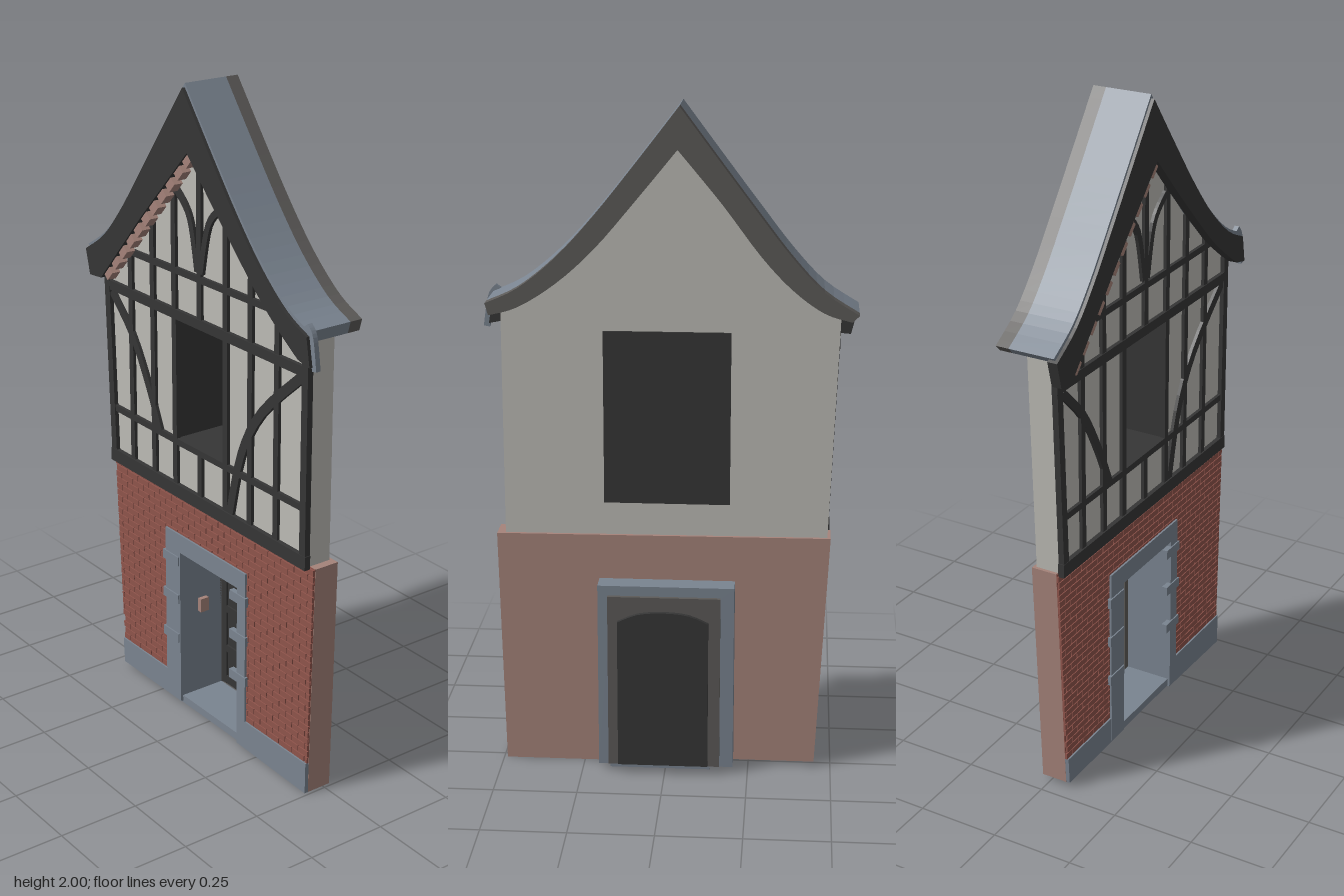
import * as THREE from 'three';
import { mergeGeometries } from 'three/addons/utils/BufferGeometryUtils.js';

const mat = (name, color) => {
  const m = new THREE.MeshStandardMaterial({ color });
  m.name = name;
  return m;
};
const V = (p) => new THREE.Vector2(p[0], p[1]);

// Flat outline (with optional holes) pushed out from z0 to z1
function slab(pts, z0, z1, holes = []) {
  const shape = new THREE.Shape(pts.map(V));
  holes.forEach((h) => shape.holes.push(new THREE.Path(h.map(V))));
  const g = new THREE.ExtrudeGeometry(shape, { depth: z1 - z0, bevelEnabled: false });
  return g.translate(0, 0, z0);
}
const rect = (x0, x1, y0, y1) => [[x0, y0], [x1, y0], [x1, y1], [x0, y1]];
const block = (x0, x1, y0, y1, z0, z1) =>
  new THREE.BoxGeometry(x1 - x0, y1 - y0, z1 - z0).translate((x0 + x1) / 2, (y0 + y1) / 2, (z0 + z1) / 2);
const smooth = (pts, n = 20) => new THREE.SplineCurve(pts.map(V)).getPoints(n).map((p) => [p.x, p.y]);

// Curved or straight strip of even width along a path
function strip(pts, w, z0, z1) {
  const curve = new THREE.SplineCurve(pts.map(V));
  const n = pts.length > 2 ? 12 : 1;
  const a = [], b = [];
  for (let i = 0; i <= n; i++) {
    const p = curve.getPoint(i / n), t = curve.getTangent(i / n);
    a.push([p.x - t.y * w / 2, p.y + t.x * w / 2]);
    b.unshift([p.x + t.y * w / 2, p.y - t.x * w / 2]);
  }
  return slab([...a, ...b], z0, z1);
}

export function createModel() {
  const house = new THREE.Group();
  house.name = 'townHouse';
  const plaster = mat('plaster', 0xbcbbb5), timber = mat('darkTimber', 0x363636);
  const brick = mat('redBrick', 0x8f544b), mortar = mat('mortar', 0xa5837a);
  const slate = mat('slate', 0x7a8490), trim = mat('greyTrim', 0x5c5a58);
  const add = (name, geo, material) => {
    const parts = Array.isArray(geo) ? geo.map((g) => (g.index ? g.toNonIndexed() : g)) : null;
    const m = new THREE.Mesh(parts ? mergeGeometries(parts) : geo, material);
    m.name = name;
    house.add(m);
    return m;
  };

  // Roof profiles, eave to ridge on the left and ridge to eave on the right
  const outL = smooth([[-0.55, 1.42], [-0.45, 1.485], [-0.36, 1.58], [-0.27, 1.695], [-0.16, 1.84], [-0.04, 2]]);
  const outR = smooth([[-0.04, 2], [0.08, 1.845], [0.2, 1.695], [0.31, 1.575], [0.42, 1.485], [0.515, 1.44]]);
  const inL = smooth([[-0.53, 1.4], [-0.45, 1.425], [-0.36, 1.49], [-0.27, 1.585], [-0.16, 1.73], [-0.035, 1.88]]);
  const inR = smooth([[-0.035, 1.88], [0.08, 1.74], [0.2, 1.6], [0.31, 1.5], [0.42, 1.43], [0.505, 1.405]]);
  const shell = [...outL, ...outR.slice(1), ...inR.slice().reverse(), ...inL.slice(0, -1).reverse()];
  add('roof', slab(shell, -0.04, 0.1), slate);
  add('roofBackEdge', slab(shell, -0.08, -0.04), trim);
  // Bargeboard over the gable front
  const lower = (pts) => pts.map(([x, y]) => [x, y - 0.012]);
  const bargeIn = smooth([[-0.02, 1.81], [0.12, 1.665], [0.3, 1.49], [0.4, 1.41], [0.48, 1.355]], 14);
  add('bargeboard', slab([[-0.53, 1.33], ...lower(outL), ...lower(outR).slice(1), [0.53, 1.345],
    ...bargeIn.slice().reverse(), [-0.25, 1.575], [-0.47, 1.335]], 0.08, 0.11), timber);
  add('eaveSlate', strip([[0.5, 1.455], [0.522, 1.425], [0.537, 1.335]], 0.018, 0.085, 0.1), slate);
  // Little blocks under the left bargeboard
  const dentils = [];
  for (let i = 0; i < 11; i++) {
    const x = -0.455 + i * 0.041, y = 1.345 + i * 0.043;
    dentils.push(strip([[x, y], [x + 0.026, y + 0.028]], 0.035, 0.075, 0.104));
  }
  add('dentils', dentils, mortar);

  // Upper wall with a window opening
  const up = (pts) => pts.map(([x, y]) => [x, y + 0.008]);
  const gable = up([...inL, ...inR.slice(1)]).filter(([x]) => x > -0.49 && x < 0.475);
  add('upperWall', slab([[-0.475, 0.73], [-0.5, 1.41], ...gable, [0.48, 1.41], [0.48, 0.73]],
    -0.015, 0.065, [rect(-0.14, 0.11, 0.91, 1.31)]), plaster);

  // Timber frame
  const beam = (pts, w, z1 = 0.075) => strip(pts, w, 0.06, z1);
  const frame = [
    beam([[-0.482, 0.748], [0.487, 0.746]], 0.042, 0.079),
    beam([[-0.48, 0.908], [-0.13, 0.906]], 0.02), beam([[-0.14, 0.905], [0.475, 0.908]], 0.02),
    beam([[-0.5, 1.305], [0.48, 1.308]], 0.03, 0.077),
    beam([[-0.385, 1.436], [0.37, 1.444]], 0.02),
    beam([[-0.488, 1.35], [-0.465, 0.74]], 0.026, 0.078), beam([[0.472, 1.38], [0.472, 0.74]], 0.026, 0.078),
    beam([[-0.015, 1.84], [-0.015, 1.31]], 0.021), beam([[-0.015, 0.76], [-0.015, 0.905]], 0.021),
    beam([[-0.468, 1.285], [-0.36, 1.175], [-0.28, 1.04], [-0.22, 0.91]], 0.026),
    beam([[0.46, 1.295], [0.28, 1.13], [0.185, 0.97], [0.13, 0.76]], 0.03),
    beam([[-0.125, 1.68], [-0.06, 1.61], [-0.025, 1.46]], 0.021),
    beam([[0.1, 1.68], [0.03, 1.61], [-0.007, 1.46]], 0.021),
  ];
  [[-0.365, 1.47], [-0.25, 1.59], [-0.14, 1.7], [0.11, 1.7], [0.225, 1.58], [0.345, 1.48]].forEach(([x, top]) =>
    frame.push(beam([[x, 0.76], [x, top]], 0.021)));
  add('timberFrame', frame, timber);

  // Deep window box with a leaded bay of panes
  add('windowBox', [slab(rect(-0.15, 0.12, 0.9, 1.32), -0.1, 0.07, [rect(-0.133, 0.104, 0.915, 1.305)]),
    block(-0.19, 0.175, 0.86, 1.37, -0.106, -0.1)], timber);
  const panes = [];
  [[-0.088, -0.3], [-0.053, 0], [-0.018, 0.35]].forEach(([x, turn]) => {
    for (let r = 0; r < 6; r++) {
      const p = new THREE.BoxGeometry(0.03, 0.056, 0.005).rotateY(turn);
      panes.push(p.translate(x, 0.952 + r * 0.064, -0.075));
    }
  });
  add('windowPanes', panes, slate);
  add('windowLead', block(-0.106, 0, 0.915, 1.305, -0.1, -0.085), timber);

  // Lower wall with a doorway cut from the bottom
  add('lowerWall', slab([[-0.45, 0.015], [-0.485, 0.735], [0.505, 0.73], [0.49, 0], [0.19, 0],
    [0.19, 0.58], [-0.19, 0.58], [-0.19, 0.015]], -0.025, 0.055), mortar);
  add('brickBed', slab([[-0.454, 0.1], [-0.485, 0.733], [0.504, 0.73], [0.491, 0.1], [0.19, 0.1],
    [0.19, 0.58], [-0.19, 0.58], [-0.19, 0.1]], 0.055, 0.057), brick);
  // Brick courses in running bond, clipped to the leaning wall ends and the doorway
  const bricks = [], rows = 30, rowH = 0.63 / rows;
  for (let r = 0; r < rows; r++) {
    const y = 0.1 + r * rowH, left = -0.45 - 0.048 * y, right = 0.489 + 0.02 * y;
    const spans = y + rowH < 0.595 ? [[left, -0.2], [0.195, right]] : [[left, right]];
    spans.forEach(([a, b]) => {
      for (let x = -0.6 + (r % 2) * 0.03; x < b; x += 0.06) {
        const x0 = Math.max(x, a), x1 = Math.min(x + 0.057, b);
        if (x1 - x0 > 0.006) bricks.push(block(x0, x1, y, y + rowH - 0.003, 0.056, 0.062));
      }
    });
  }
  add('bricks', bricks, brick);
  add('plinth', [slab([[-0.449, 0.015], [-0.454, 0.1], [-0.19, 0.1], [-0.13, 0.1], [-0.13, 0.015]], 0.05, 0.067),
    slab([[0.16, 0.008], [0.16, 0.1], [0.491, 0.1], [0.49, 0]], 0.05, 0.067)], slate);

  // Stone door surround, quoins and step
  const surround = [slab([[-0.205, 0.02], [-0.205, 0.595], [0.2, 0.595], [0.2, 0.02], [0.16, 0.02],
    [0.16, 0.535], [-0.13, 0.535], [-0.13, 0.02]], -0.09, 0.068), block(-0.135, 0.165, 0.01, 0.035, -0.09, 0.06)];
  [0.235, 0.37, 0.5].forEach((y) => [-0.175, 0.168].forEach((x) =>
    surround.push(block(x - 0.04, x + 0.04 - (x > 0 ? 0.002 : 0), y - 0.012, y + 0.018, 0.055, 0.072))));
  add('doorSurround', surround, slate);

  // Arched door set into its back frame
  const arch = [[-0.13, 0.03], ...smooth([[-0.13, 0.49], [-0.07, 0.515], [0.005, 0.522], [0.08, 0.515], [0.14, 0.49]], 12), [0.14, 0.03]];
  add('doorFrame', slab(rect(-0.165, 0.17, 0.025, 0.565), -0.102, -0.085, [arch]), trim);
  add('door', slab(arch, -0.115, -0.1), timber);
  const rails = [-0.12, 0.005, 0.13].map((x) => block(x - 0.01, x + 0.01, 0.035, 0.49, -0.1, -0.094));
  [0.05, 0.16, 0.3, 0.48].forEach((y) => rails.push(block(-0.13, 0.14, y - 0.012, y + 0.012, -0.1, -0.095)));
  add('doorRails', rails, timber);
  add('doorFittings', [block(-0.13, -0.115, 0.315, 0.36, -0.03, 0), block(0.082, 0.092, 0.255, 0.285, -0.1, -0.088),
    block(0.046, 0.056, 0.44, 0.465, -0.1, -0.088)], mortar);

  return house;
}
